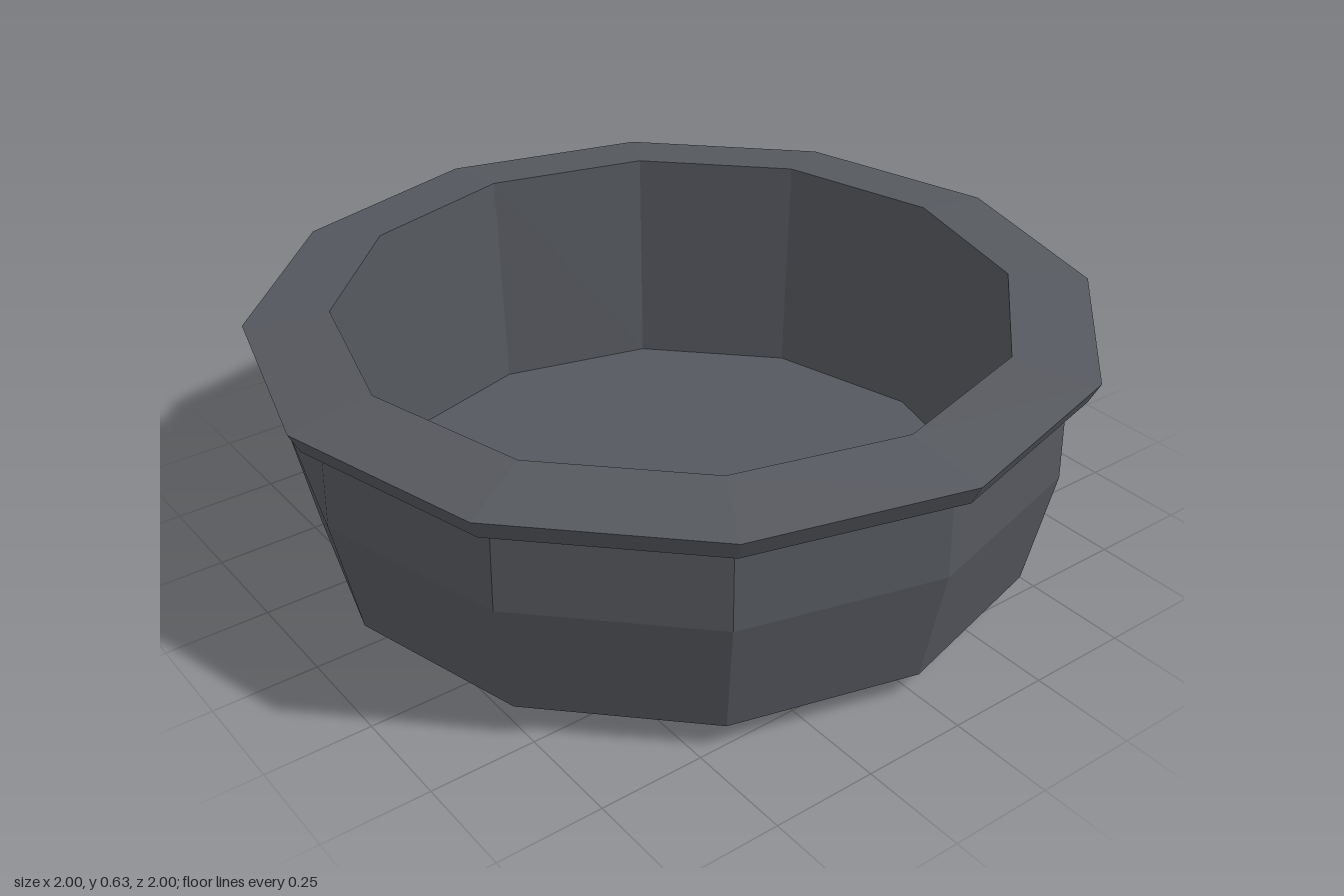
import * as THREE from 'three';

const SIDES = 12;

export function createModel() {
  const group = new THREE.Group();
  group.name = 'bowl';

  const slate = new THREE.MeshStandardMaterial({ color: 0x55585e });
  slate.name = 'dark slate grey';
  slate.flatShading = true;

  // Revolves a profile of [radius, height] pairs into a low-poly part
  const addPart = (name, profile) => {
    const points = profile.map(([r, y]) => new THREE.Vector2(r, y));
    const mesh = new THREE.Mesh(new THREE.LatheGeometry(points, SIDES), slate);
    mesh.name = name;
    group.add(mesh);
  };

  // Flat base, bevelled foot and gently bulging wall
  addPart('outerWall', [[0, 0], [0.79, 0], [0.875, 0.058], [0.935, 0.35], [0.93, 0.54]]);

  // Overhanging rim, rising slightly towards the opening
  addPart('rim', [[0.93, 0.54], [0.975, 0.555], [1, 0.605], [0.8, 0.63]]);

  // Tapered inner wall and floor
  addPart('inside', [[0.8, 0.63], [0.775, 0.06], [0, 0.06]]);

  return group;
}
